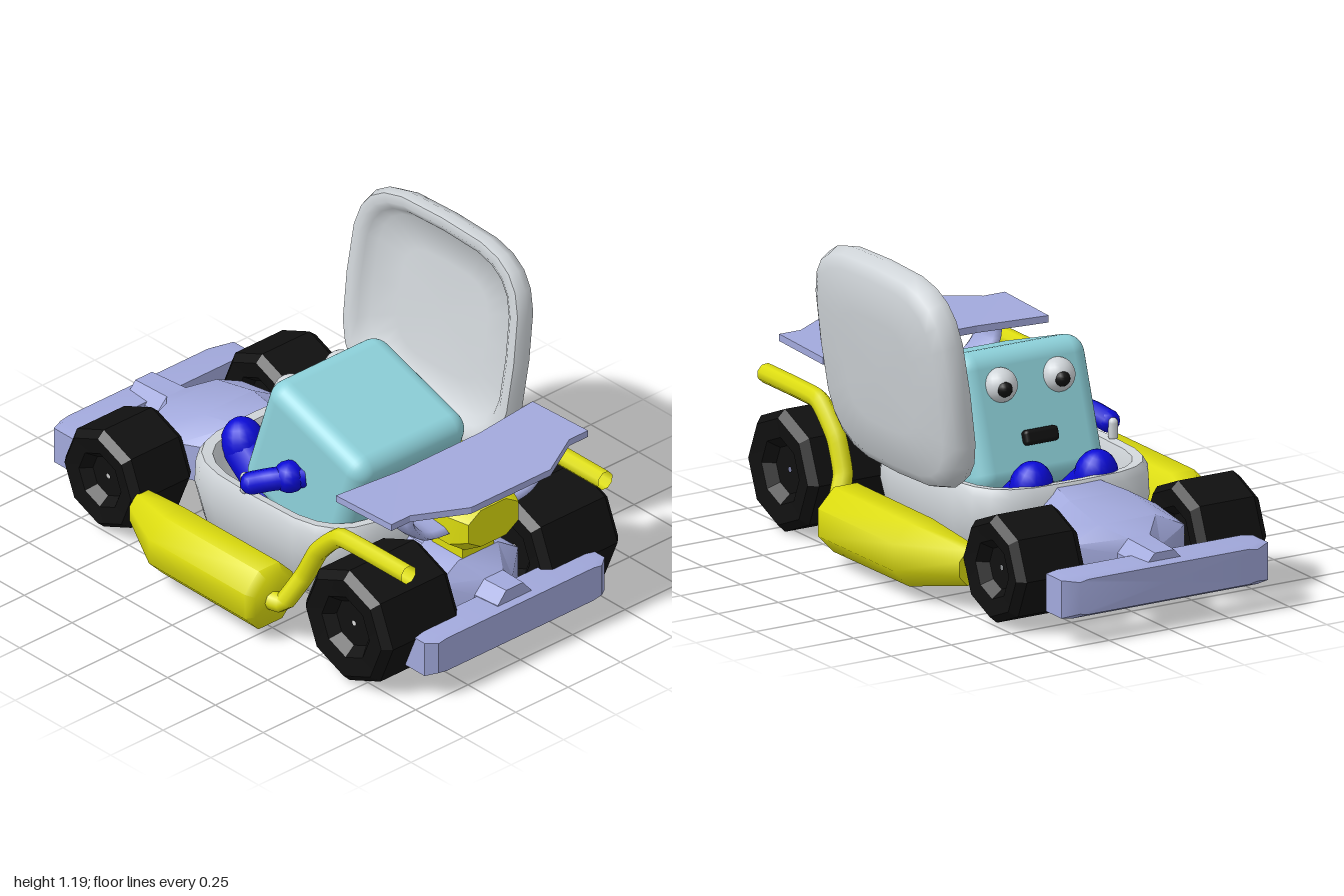
import * as THREE from 'three';
import { toCreasedNormals } from 'three/addons/utils/BufferGeometryUtils.js';
import { RoundedBoxGeometry } from 'three/addons/geometries/RoundedBoxGeometry.js';

const V = (x, y, z) => new THREE.Vector3(x, y, z);
const paint = (name, color, side = THREE.FrontSide) => {
  const m = new THREE.MeshStandardMaterial({ color, side });
  m.name = name;
  return m;
};

// Skin a list of equal-length point rings and close both ends
function skin(rings, crease) {
  const n = rings[0].length, pos = [], idx = [];
  rings.flat().forEach(p => pos.push(p.x, p.y, p.z));
  for (let i = 0; i < rings.length - 1; i++)
    for (let j = 0; j < n; j++) {
      const k = (j + 1) % n, a = i * n + j, b = i * n + k;
      idx.push(a, b, a + n, b, b + n, a + n);
    }
  [0, rings.length - 1].forEach((r, end) => {
    const mid = V(0, 0, 0);
    rings[r].forEach(p => mid.addScaledVector(p, 1 / n));
    const c = pos.length / 3;
    pos.push(mid.x, mid.y, mid.z);
    for (let j = 0; j < n; j++) {
      const a = r * n + j, b = r * n + (j + 1) % n;
      end ? idx.push(c, a, b) : idx.push(c, b, a);
    }
  });
  const g = new THREE.BufferGeometry();
  g.setAttribute('position', new THREE.Float32BufferAttribute(pos, 3));
  g.setIndex(idx);
  return toCreasedNormals(g, crease);
}

// Eight-sided sections [z, centreX, halfWidth, bottom, top] along z; k sets the chamfer
function hull(sections, k = 0.5, crease = 0.6) {
  const oct = [[1, -k], [1, k], [k, 1], [-k, 1], [-1, k], [-1, -k], [-k, -1], [k, -1]];
  return skin(sections.map(([z, cx, w, lo, hi]) =>
    oct.map(([x, y]) => V(cx + x * w, (lo + hi) / 2 + y * (hi - lo) / 2, z))), crease);
}

// Rounded-square rings [scale, y] stacked along y
function shell(rings, halfX, halfZ) {
  const root = v => Math.sign(v) * Math.abs(v) ** 0.55;
  return skin(rings.map(([s, y]) => Array.from({ length: 24 }, (_, i) => {
    const a = i / 24 * Math.PI * 2;
    return V(root(Math.sin(a)) * halfX * s, y, root(Math.cos(a)) * halfZ * s);
  })), 1.0);
}

const path = (pts, tension) =>
  new THREE.CatmullRomCurve3(pts.map(p => V(...p)), false, 'catmullrom', tension);

export function createModel() {
  const model = new THREE.Group();
  const white = paint('shell white', 0xd0d5d9);
  const lavender = paint('lavender', 0xa2a9dc);
  const yellow = paint('yellow', 0xdcdc0e, THREE.DoubleSide);
  const black = paint('black', 0x101010);
  const teal = paint('teal', 0x8dd1da);
  const blue = paint('blue', 0x0a0ad6);
  const add = (name, geo, mat, pos = [0, 0, 0], parent = model) => {
    const m = new THREE.Mesh(geo, mat);
    m.name = name;
    m.position.set(...pos);
    parent.add(m);
    return m;
  };

  // Cockpit bowl and open lid
  add('cockpit', shell([[0.55, 0.045], [0.8, 0.06], [0.93, 0.13], [1, 0.27], [0.99, 0.36], [0.95, 0.39],
    [0.87, 0.385], [0.83, 0.34], [0.8, 0.2], [0.65, 0.11]], 0.4, 0.445), white, [0, 0, 0.025]);
  add('lid', shell([[0.5, 0.065], [0.78, 0.055], [0.84, 0.02], [0.9, 0], [0.97, 0.005], [1, 0.04],
    [0.96, 0.085], [0.86, 0.11], [0.5, 0.12]], 0.41, 0.45), white, [0.45, 0.785, 0.03])
    .rotation.z = -Math.PI / 2 - 0.14;

  // Chassis ends with bumpers
  add('nose', hull([[-0.97, 0, 0.08, 0.1, 0.28], [-0.8, 0, 0.09, 0.1, 0.29], [-0.72, 0, 0.24, 0.1, 0.33],
    [-0.53, 0, 0.24, 0.09, 0.37], [-0.38, 0, 0.17, 0.09, 0.38]]), lavender);
  add('tail', hull([[0.42, 0, 0.09, 0.1, 0.29], [0.54, 0, 0.09, 0.1, 0.29], [0.6, 0, 0.19, 0.1, 0.35],
    [0.78, 0, 0.19, 0.1, 0.35], [0.86, 0, 0.09, 0.1, 0.29], [0.97, 0, 0.08, 0.1, 0.29]]), lavender);
  add('frontBumper', hull([[-1, 0, 0.37, 0.11, 0.24], [-0.97, 0, 0.43, 0.095, 0.25],
    [-0.87, 0, 0.43, 0.095, 0.25]], 0.9), lavender);
  add('rearBumper', hull([[0.87, 0, 0.43, 0.09, 0.24], [0.97, 0, 0.43, 0.09, 0.24],
    [1, 0, 0.39, 0.1, 0.235]], 0.9), lavender);

  // Wheels with recessed hubs
  const wheel = (name, r, half, x, z) => {
    const side = [[0.01, half - 0.05], [r * 0.4, half - 0.05], [r * 0.55, half - 0.01],
      [r * 0.87, half], [r, half - 0.03]];
    const profile = [...side.map(([a, b]) => [a, -b]), ...side.slice().reverse()]
      .map(p => new THREE.Vector2(...p));
    const g = toCreasedNormals(new THREE.LatheGeometry(profile, 8), 0.5);
    add(name, g, black, [x, r + (r < 0.22 ? 0.01 : 0), z]).rotation.z = Math.PI / 2;
  };

  for (const s of [1, -1]) {
    const side = s > 0 ? 'left' : 'right';
    wheel(side + 'RearWheel', 0.227, 0.183, s * 0.383, 0.695);
    wheel(side + 'FrontWheel', 0.2, 0.143, s * 0.378, -0.64);

    // Side pod and exhaust pipe
    add(side + 'SidePod', hull([[-0.46, s * 0.475, 0.06, 0.1, 0.23], [-0.22, s * 0.545, 0.115, 0.05, 0.285],
      [0.28, s * 0.545, 0.115, 0.045, 0.285], [0.31, s * 0.545, 0.09, 0.07, 0.26]], 0.42, 0.9), yellow);
    add(side + 'Exhaust', new THREE.TubeGeometry(path([[s * 0.56, 0.165, 0.28], [s * 0.54, 0.165, 0.35],
      [s * 0.48, 0.28, 0.4], [s * 0.47, 0.4, 0.46], [s * 0.47, 0.51, 0.58], [s * 0.47, 0.515, 0.93]], 0.2),
      40, 0.036, 8), yellow);
  }

  // Engine block on its stem
  add('engine', hull([[0.55, 0, 0.12, 0.43, 0.58], [0.61, 0, 0.15, 0.39, 0.61], [0.79, 0, 0.15, 0.39, 0.61],
    [0.86, 0, 0.12, 0.43, 0.58]]), yellow);
  add('engineStem', new THREE.BoxGeometry(0.15, 0.1, 0.16), yellow, [0, 0.375, 0.7]);

  // Spoiler plate, lifting towards its trailing edge, and its curved strut
  const outline = [[-0.47, 0.55], [-0.47, 0.84], [-0.38, 0.84], [-0.19, 0.95], [0.19, 0.95], [0.38, 0.84],
    [0.47, 0.84], [0.47, 0.55], [0.19, 0.58], [-0.19, 0.58]].map(([x, z]) => new THREE.Vector2(x, -z));
  const plate = new THREE.ExtrudeGeometry(new THREE.Shape(outline), { depth: 0.026, bevelEnabled: false });
  plate.rotateX(-Math.PI / 2);
  const p = plate.attributes.position;
  for (let i = 0; i < p.count; i++) p.setY(i, p.getY(i) + 0.645 + Math.max(0, p.getZ(i) - 0.6) * 0.045);
  plate.computeVertexNormals();
  add('spoiler', plate, lavender);
  add('spoilerStrut', new THREE.TubeGeometry(path([[-0.325, 0.66, 0], [-0.315, 0.58, 0], [-0.25, 0.51, 0],
    [-0.14, 0.49, 0], [0.14, 0.49, 0], [0.25, 0.51, 0], [0.315, 0.58, 0], [0.325, 0.66, 0]], 0.5),
    40, 0.022, 8), lavender, [0, 0, 0.71]).scale.z = 3.8;

  // Driver: a cube leaning back, facing the nose
  const head = new THREE.Group();
  head.name = 'driver';
  head.position.set(0, 0.48, 0.14);
  head.rotation.x = 0.32;
  model.add(head);
  add('driverBody', new RoundedBoxGeometry(0.54, 0.51, 0.53, 4, 0.07), teal, [0, 0, 0], head);
  add('mouth', new RoundedBoxGeometry(0.14, 0.055, 0.05, 2, 0.015), black, [0, -0.08, -0.27], head);
  for (const s of [1, -1]) {
    const side = s > 0 ? 'left' : 'right';
    add(side + 'Eye', new THREE.SphereGeometry(0.063, 20, 14), white, [s * 0.12, 0.12, -0.26], head);
    add(side + 'Pupil', new THREE.SphereGeometry(0.03, 14, 10), black,
      [s * 0.12 + 0.01, 0.105, -0.302], head);

    // Arm, hand and leg
    const arm = path([[s * 0.25, 0.48, 0.15], [s * 0.335, 0.47, 0.08], [s * 0.38, 0.44, 0.01]], 0.5);
    add(side + 'Arm', new THREE.TubeGeometry(arm, 12, 0.042, 10), blue);
    add(side + 'Cuff', new THREE.SphereGeometry(0.042, 12, 8), blue, [s * 0.38, 0.44, 0.01]);
    add(side + 'Shoulder', new THREE.SphereGeometry(0.06, 12, 8), blue, [s * 0.29, 0.475, 0.11]);
    add(side + 'Hand', new THREE.CapsuleGeometry(0.018, 0.05, 4, 10), white, [s * 0.375, 0.42, -0.03]);
    add(side + 'Leg', new THREE.CapsuleGeometry(0.08, 0.22, 6, 14), blue, [s * 0.135, 0.27, -0.2])
      .rotation.x = -0.9;
    const foot = add(side + 'Foot', new THREE.SphereGeometry(0.08, 16, 12), blue, [s * 0.135, 0.36, -0.3]);
    foot.scale.y = 1.25;
    foot.rotation.x = -0.25;
  }
  return model;
}
